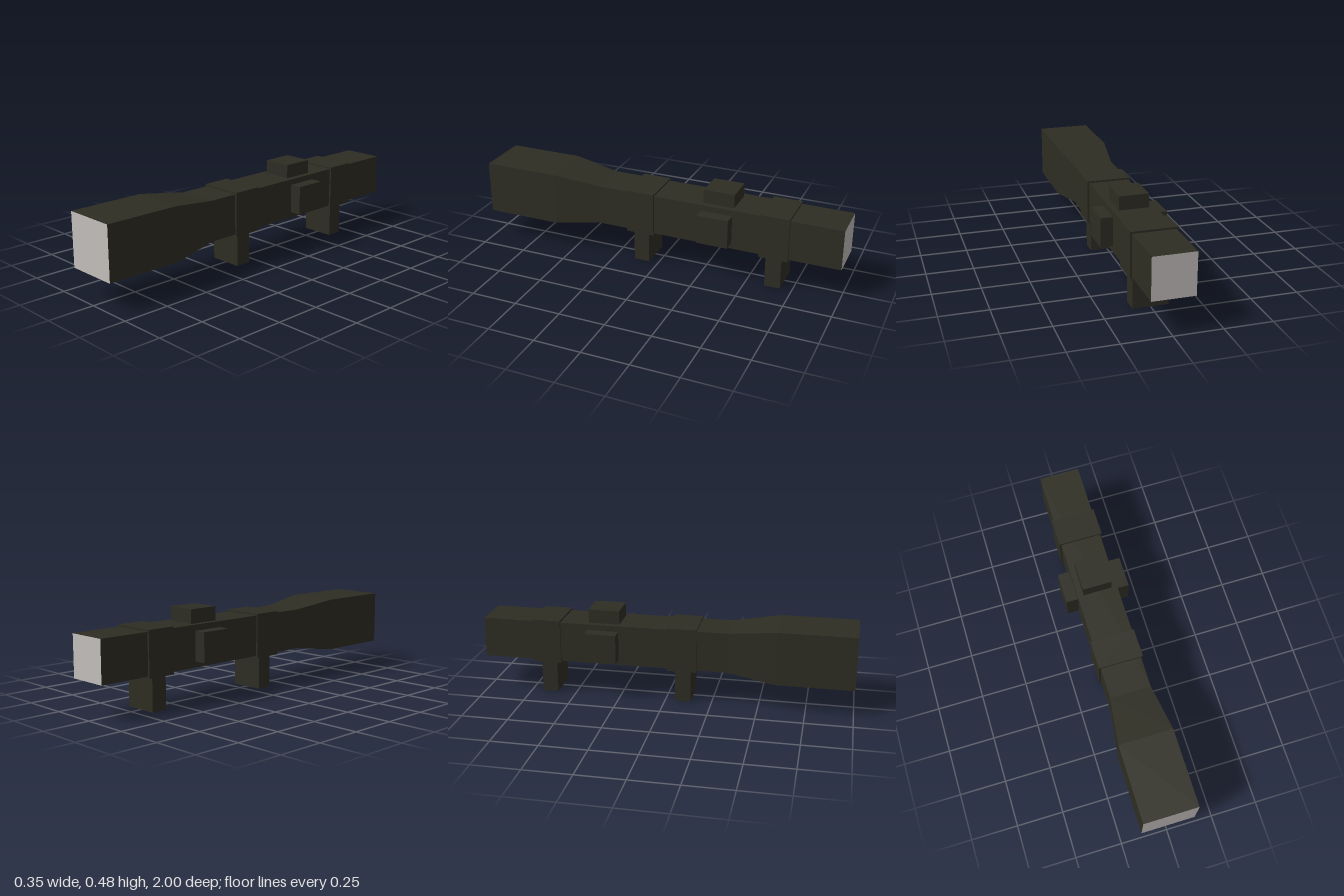
import * as THREE from 'three';

const AXIS_Y = 0.298;

export function createModel() {
  const group = new THREE.Group();
  const darkMetal = new THREE.MeshStandardMaterial({ color: 0x2e2d23 });
  darkMetal.name = 'darkMetal';
  const paleGlass = new THREE.MeshStandardMaterial({ color: 0xc2bebc });
  paleGlass.name = 'paleGlass';

  const add = (name, geometry, material, x, y, z) => {
    const mesh = new THREE.Mesh(geometry, material);
    mesh.name = name;
    mesh.position.set(x, y, z);
    group.add(mesh);
    return mesh;
  };
  const box = (name, w, h, d, x, y, z) =>
    add(name, new THREE.BoxGeometry(w, h, d), darkMetal, x, y, z);

  // Square tube: narrow at the back, flaring to the front; profile is [half width, z]
  const profile = [[0.109, -1], [0.109, 0.335], [0.144, 0.59], [0.144, 1]]
    .map(([half, z]) => new THREE.Vector2(half * Math.SQRT2, z));
  const tube = new THREE.LatheGeometry(profile, 4, Math.PI / 4)
    .rotateX(Math.PI / 2).toNonIndexed();
  tube.computeVertexNormals();
  add('tube', tube, darkMetal, 0, AXIS_Y, 0);

  // Lenses closing both ends
  add('frontLens', new THREE.PlaneGeometry(0.288, 0.288), paleGlass, 0, AXIS_Y, 1);
  add('rearLens', new THREE.PlaneGeometry(0.218, 0.218), paleGlass, 0, AXIS_Y, -1)
    .rotation.y = Math.PI;

  // Mounting rings with their feet
  for (const [name, z] of [['front', 0.092], ['rear', -0.648]]) {
    box(name + 'Ring', 0.238, 0.238, 0.155, 0, AXIS_Y, z);
    box(name + 'Foot', 0.184, 0.2, 0.085, 0, 0.1, z + 0.003);
  }

  // Adjustment knobs on the top and both sides
  box('topKnob', 0.156, 0.1, 0.168, 0, 0.431, -0.336);
  for (const side of [-1, 1]) {
    box(side > 0 ? 'leftKnob' : 'rightKnob', 0.09, 0.156, 0.168, side * 0.129, AXIS_Y, -0.336);
  }
  return group;
}
